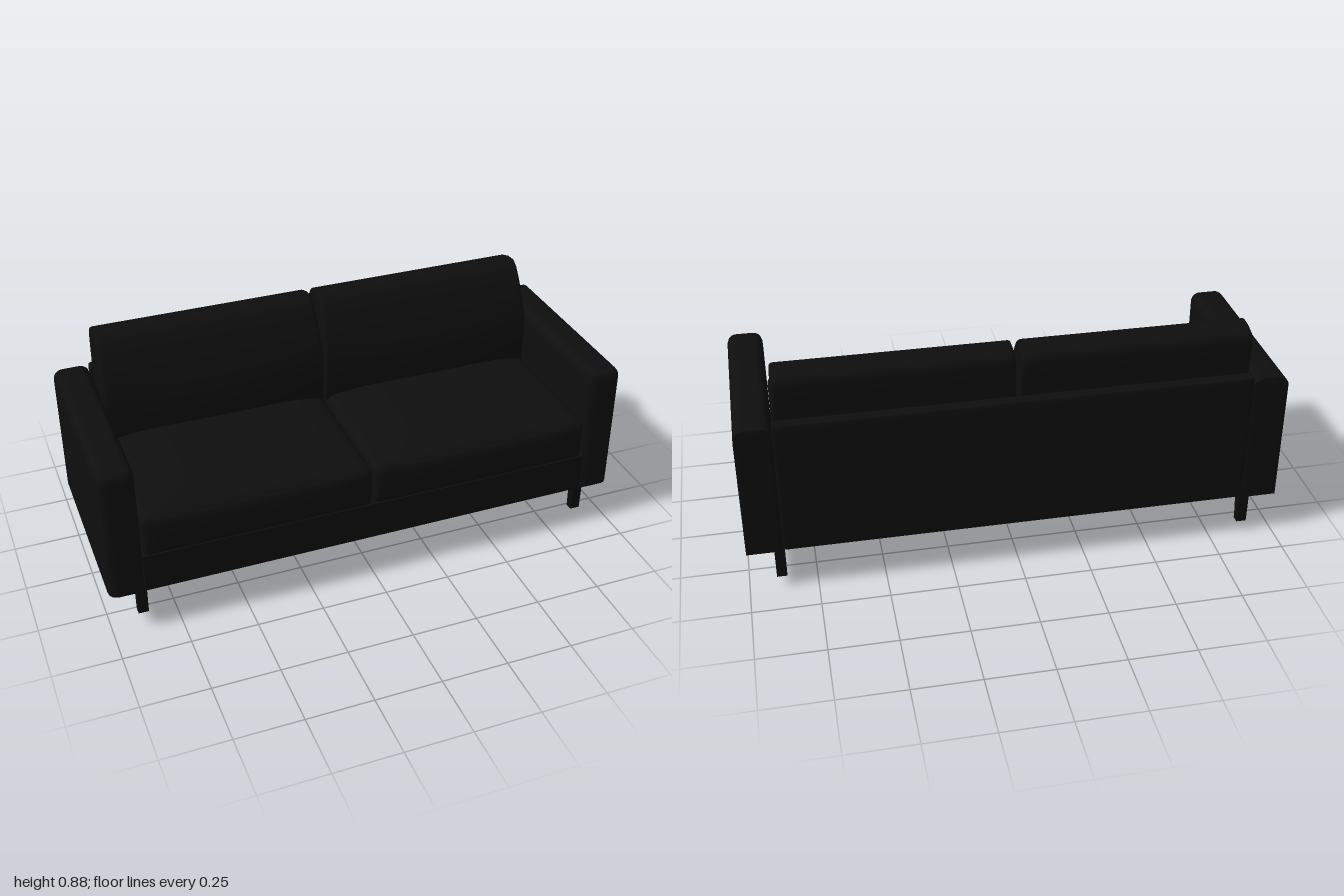
import * as THREE from 'three';
import { mergeVertices } from 'three/addons/utils/BufferGeometryUtils.js';

const fabric = new THREE.MeshStandardMaterial({ color: 0x0e0e0e });
fabric.name = 'black upholstery';
const wood = new THREE.MeshStandardMaterial({ color: 0x0c0c0c });
wood.name = 'black legs';

// Shared, smooth normals after vertices have been moved
function smooth(geo) {
  geo.deleteAttribute('uv');
  geo.deleteAttribute('normal');
  const g = mergeVertices(geo, 1e-5);
  g.computeVertexNormals();
  return g;
}

// Soft box from min to max corners: rounded edges, crowned top and bulged front
function softBox(min, max, r, { crown = 0, bulge = 0, square = '' } = {}) {
  const geo = new THREE.BoxGeometry(2, 2, 2, 20, 20, 20);
  const lo = new THREE.Vector3(...min), hi = new THREE.Vector3(...max);
  const mid = lo.clone().add(hi).multiplyScalar(0.5);
  const half = hi.clone().sub(lo).multiplyScalar(0.5);
  const inLo = lo.clone().addScalar(r), inHi = hi.clone().subScalar(r);
  if (square.includes('bottom')) inLo.y = lo.y;
  if (square.includes('back')) inLo.z = lo.z;
  const pos = geo.attributes.position, p = new THREE.Vector3();
  for (let i = 0; i < pos.count; i++) {
    const u = ['x', 'y', 'z'].map(k => Math.sin(pos['get' + k.toUpperCase()](i) * Math.PI / 2));
    p.set(...u).multiply(half).add(mid);
    const core = p.clone().clamp(inLo, inHi);
    const d = p.clone().sub(core);
    if (d.length() > 1e-9) p.copy(core).addScaledVector(d.normalize(), r);
    const [a, b, c] = u;
    if (b > 0) p.y += crown * b * (1 - a ** 4) * (1 - c ** 4);
    if (c > 0) p.z += bulge * c * (1 - a ** 4) * (1 - b * b);
    pos.setXYZ(i, p.x, p.y, p.z);
  }
  return smooth(geo);
}

// Leaning back cushion: side profile swept across x, bowed forward in the middle
function backCushion(w) {
  const top = [[-0.155, 0.46], [-0.15, 0.6], [-0.155, 0.68], [-0.18, 0.745], [-0.21, 0.805],
    [-0.24, 0.85], [-0.265, 0.868], [-0.3, 0.866], [-0.34, 0.852], [-0.352, 0.83],
    [-0.345, 0.76], [-0.336, 0.69], [-0.334, 0.46]];
  const shape = new THREE.Shape(top.map(([z, y]) => new THREE.Vector2(-z, y)));
  const bevel = 0.012;
  const geo = new THREE.ExtrudeGeometry(shape, {
    depth: w - 2 * bevel, steps: 20, bevelEnabled: true,
    bevelThickness: bevel, bevelSize: bevel, bevelOffset: -0.005, bevelSegments: 3,
  });
  geo.rotateY(Math.PI / 2);
  geo.translate(-w / 2 + bevel, 0, 0);
  const pos = geo.attributes.position;
  for (let i = 0; i < pos.count; i++) {
    const x = pos.getX(i), y = pos.getY(i), z = pos.getZ(i);
    const u = Math.min(1, Math.abs(x) / (w / 2));
    const front = THREE.MathUtils.clamp((z + 0.27) / 0.1, 0, 1);
    const low = THREE.MathUtils.clamp((0.68 - y) / 0.12, 0, 1);
    pos.setZ(i, z + 0.028 * front * low * (1 - u * u));
    pos.setX(i, x * (1 - 0.02 * THREE.MathUtils.clamp((y - 0.6) / 0.27, 0, 1)));
  }
  return smooth(geo);
}

// Post tapered towards the floor; the rear ones flare forward at the top
function leg(flare) {
  const geo = new THREE.BoxGeometry(0.038, 0.125, 0.036, 1, 8, 1);
  const pos = geo.attributes.position;
  for (let i = 0; i < pos.count; i++) {
    const t = pos.getY(i) / 0.125 + 0.5, z = pos.getZ(i);
    pos.setZ(i, z * (0.82 + 0.18 * t) + (z > 0 ? flare * t ** 3 : 0));
  }
  geo.computeVertexNormals();
  return geo;
}

export function createModel() {
  const model = new THREE.Group();
  const add = (name, geo, mat, x = 0, y = 0, z = 0) => {
    const m = new THREE.Mesh(geo, mat);
    m.name = name;
    m.position.set(x, y, z);
    model.add(m);
    return m;
  };
  const box = (name, mat, w, h, d, x, y, z) => add(name, new THREE.BoxGeometry(w, h, d), mat, x, y, z);

  // Frame, open underneath
  add('backrest', softBox([-0.866, 0.168, -0.385], [0.866, 0.692, -0.335], 0.012), fabric);
  box('frontRail', fabric, 1.74, 0.15, 0.035, 0, 0.243, 0.352);
  box('centreBeam', fabric, 0.045, 0.06, 0.68, 0, 0.28, 0);
  box('centreLeg', wood, 0.03, 0.29, 0.037, -0.006, 0.145, -0.005);

  for (const s of [1, -1]) {
    const side = s > 0 ? 'left' : 'right';
    // Arm
    const arm = softBox([-0.067, 0.165, -0.38], [0.067, 0.681, 0.369], 0.036, { square: 'bottom back' });
    add(side + 'Arm', arm, fabric, s * 0.932);
    box(side + 'SideRail', fabric, 0.03, 0.14, 0.7, s * 0.853, 0.24, 0);

    // Cushions
    const seat = softBox([-0.43, 0.31, -0.335], [0.43, 0.475, 0.371], 0.026, { crown: 0.036, bulge: 0.013 });
    add(side + 'SeatCushion', seat, fabric, s * 0.434);
    add(side + 'BackCushion', backCushion(0.858), fabric, s * 0.432);

    // Legs and small pads under the arms
    add(side + 'FrontLeg', leg(0), wood, s * 0.88, 0.1075, 0.324);
    add(side + 'BackLeg', leg(0.025), wood, s * 0.88, 0.1075, -0.355);
    for (const z of [0.27, -0.27]) {
      const pad = new THREE.CylinderGeometry(0.014, 0.01, 0.026, 12);
      pad.scale(2.2, 1, 1);
      add(side + 'ArmPad', pad, wood, s * 0.958, 0.156, z);
    }
  }
  return model;
}
